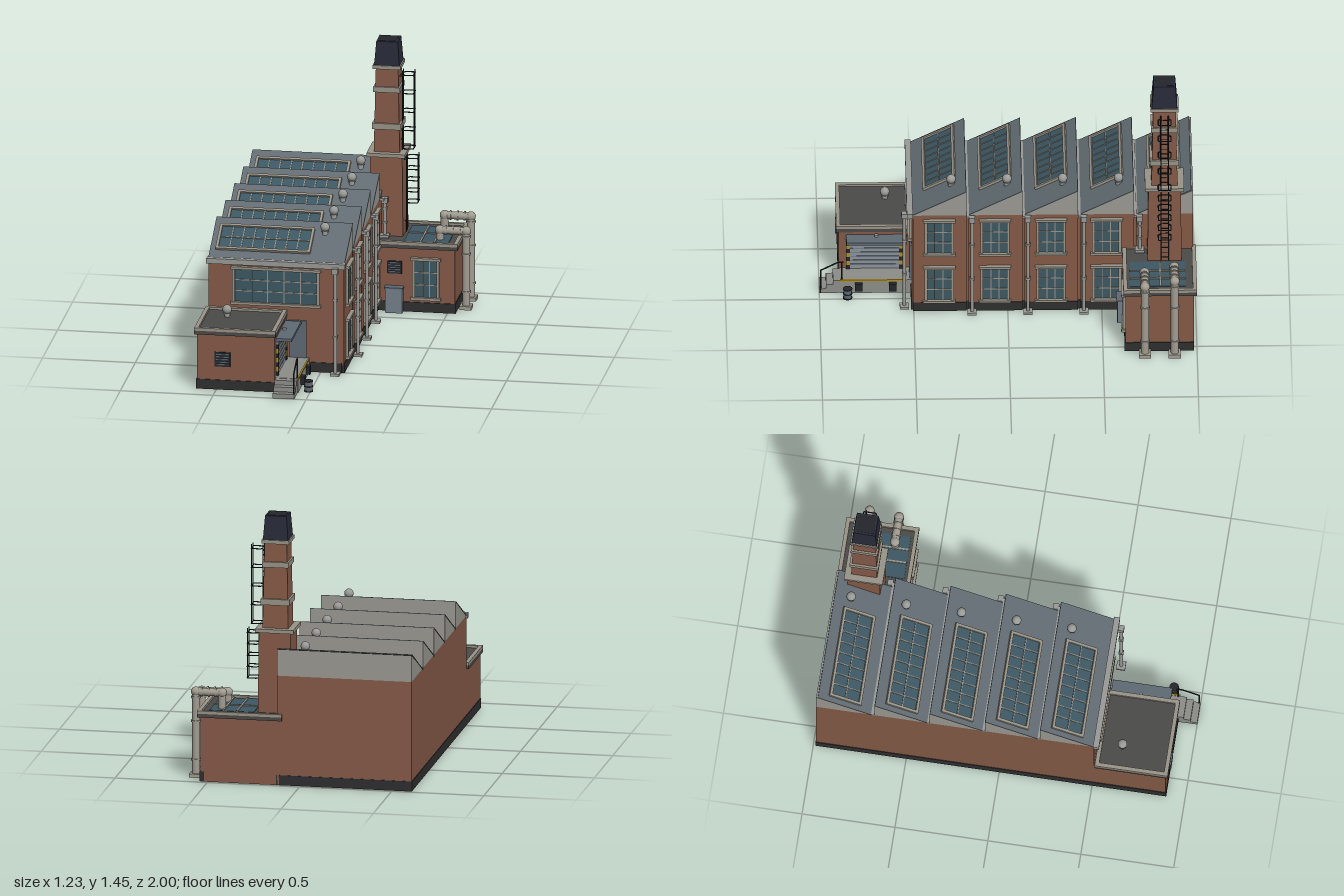
import * as THREE from 'three';

const C = {
  brick: 0x855a47, brickDark: 0x6e4a3b, base: 0x2f2f31, trim: 0x9a9488, gable: 0x9b9a93, slate: 0x626c72,
  glass: 0x3d5863, metal: 0x9a9a97, pipe: 0xa29d92, roof: 0x4b4a48, dark: 0x24262b, cap: 0x282b39,
  door: 0x5f6a74, panel: 0x75808a, shutter: 0x8b939b, concrete: 0x8d8d89, yellow: 0xb08f2a,
};
const mats = {};
const mat = (c) => (mats[c] ??= new THREE.MeshStandardMaterial({ color: C[c] }));

function add(parent, name, geo, color, x = 0, y = 0, z = 0) {
  const m = new THREE.Mesh(geo, mat(color));
  m.name = name;
  m.position.set(x, y, z);
  parent.add(m);
  return m;
}
// Box given by its limits
function box(p, name, color, x0, x1, y0, y1, z0, z1) {
  return add(p, name, new THREE.BoxGeometry(x1 - x0, y1 - y0, z1 - z0), color, (x0 + x1) / 2, (y0 + y1) / 2, (z0 + z1) / 2);
}
// Round bar between two points
function rod(p, name, color, a, b, r, sides = 12) {
  const A = new THREE.Vector3(...a), B = new THREE.Vector3(...b), d = B.clone().sub(A);
  const m = add(p, name, new THREE.CylinderGeometry(r, r, d.length(), sides), color);
  m.position.copy(A).add(B).multiplyScalar(0.5);
  m.quaternion.setFromUnitVectors(new THREE.Vector3(0, 1, 0), d.normalize());
  return m;
}
// Square tapering block
function taper(p, name, color, x, z, y0, y1, h0, h1) {
  const g = new THREE.CylinderGeometry(h1 * Math.SQRT2, h0 * Math.SQRT2, y1 - y0, 4).toNonIndexed();
  g.rotateY(Math.PI / 4);
  g.computeVertexNormals();
  return add(p, name, g, color, x, (y0 + y1) / 2, z);
}
function group(p, name, x = 0, y = 0, z = 0) {
  const g = new THREE.Group();
  g.name = name;
  g.position.set(x, y, z);
  p.add(g);
  return g;
}
// Framed glazing facing local +z, with an optional sill and lintel
function glazing(p, name, x, y, z, w, h, cols, rows, t, ledges) {
  const g = group(p, name, x, y, z), d = 0.014, W = w / 2, H = h / 2;
  box(g, 'glass', 'glass', -W + t, W - t, -H + t, H - t, -0.002, 0.004);
  for (const s of [-1, 1]) {
    box(g, 'frameSide', 'trim', s * (W - t / 2) - t / 2, s * (W - t / 2) + t / 2, -H, H, -0.004, d);
    const e = ledges ? 0.008 : 0;
    box(g, 'frameLedge', 'trim', -W - e, W + e, s * (H - t / 2) - t / 2, s * (H - t / 2) + t / 2, -0.004, d + e);
  }
  const iw = w - 2 * t, ih = h - 2 * t, b = 0.0025;
  for (let i = 1; i < cols; i++) { const u = -iw / 2 + iw * i / cols; box(g, 'mullion', 'trim', u - b, u + b, -ih / 2, ih / 2, 0, 0.008); }
  for (let i = 1; i < rows; i++) { const v = -ih / 2 + ih * i / rows; box(g, 'transom', 'trim', -iw / 2, iw / 2, v - b, v + b, 0, 0.008); }
  return g;
}
function roofVent(p, x, y, z, rise) {
  const g = group(p, 'roofVent', x, y, z);
  add(g, 'stem', new THREE.CylinderGeometry(0.014, 0.016, rise + 0.03, 16), 'metal', 0, rise / 2 - 0.015);
  add(g, 'collar', new THREE.CylinderGeometry(0.02, 0.02, 0.006, 16), 'metal', 0, rise - 0.022);
  add(g, 'ball', new THREE.SphereGeometry(0.025, 20, 14), 'metal', 0, rise);
}
function drainpipe(p, x, z, y0, y1) {
  const g = group(p, 'drainpipe', x, 0, z);
  rod(g, 'pipe', 'metal', [0, y0, 0], [0, y1, 0], 0.009);
  box(g, 'hopper', 'metal', -0.016, 0.016, y1 - 0.03, y1, -0.016, 0.016);
  box(g, 'foot', 'metal', -0.024, 0.024, y0, y0 + 0.014, -0.024, 0.024);
  for (const f of [0.35, 0.7]) box(g, 'clip', 'metal', -0.013, 0.013, y0 + (y1 - y0) * f, y0 + (y1 - y0) * f + 0.01, -0.013, 0.013);
}
// Flat roof with a raised kerb
function flatRoof(p, x0, x1, z0, z1, y) {
  const g = group(p, 'flatRoof'), t = 0.022;
  box(g, 'roofDeck', 'roof', x0 + 0.01, x1 - 0.01, y - 0.035, y - 0.012, z0 + 0.01, z1 - 0.01);
  const sides = [[x0, x1, z0, z0 + t], [x0, x1, z1 - t, z1], [x0, x0 + t, z0 + t, z1 - t], [x1 - t, x1, z0 + t, z1 - t]];
  for (const [a, b, c, d] of sides) {
    box(g, 'kerb', 'roof', a, b, y - 0.036, y - 0.016, c, d);
    box(g, 'coping', 'trim', a, b, y - 0.016, y, c, d);
  }
}
function louvre(p, x, y, z, w, h) {
  const g = group(p, 'louvre', x, y, z);
  box(g, 'louvreFrame', 'dark', -w / 2, w / 2, -h / 2, h / 2, -0.004, 0.006);
  for (let i = 0; i < 5; i++) {
    const s = add(g, 'slat', new THREE.BoxGeometry(w - 0.012, 0.004, 0.012), 'door', 0, (i - 2) * h * 0.18, 0.008);
    s.rotation.x = 0.5;
  }
}

function hall(root) {
  const g = group(root, 'mainHall');
  box(g, 'walls', 'brick', -0.605, 0.112, 0, 0.6, -0.985, 0.51);
  box(g, 'plinth', 'base', -0.608, 0.114, 0.002, 0.055, -0.988, 0.514);
  const period = 0.297, low = 0.6, high = 0.745, run = 0.285, a = Math.atan2(high - low, run);
  for (let i = 0; i < 5; i++) {
    const zf = 0.505 - i * period, zb = i === 4 ? -0.985 : zf - run, zc = zf - 0.14;
    // Wall bay and its windows
    box(g, 'wallBay', 'brick', 0.1, 0.125, 0, low, zb, zf);
    box(g, 'bayPlinth', 'base', 0.1, 0.129, 0.002, 0.055, zb, zf);
    if (i < 4) {
      for (const y of [0.172, 0.465]) glazing(g, 'sideWindow', 0.125, y, zc, 0.155, 0.225, 3, 3, 0.014, true).rotation.y = Math.PI / 2;
    }
    // Sawtooth roof bay
    const s = new THREE.Shape();
    s.moveTo(-zf, low); s.lineTo(-zb, low); s.lineTo(-zb, high);
    const tooth = new THREE.ExtrudeGeometry(s, { depth: 0.73, bevelEnabled: false });
    tooth.rotateY(Math.PI / 2);
    add(g, 'sawtooth', tooth, 'gable', -0.605);
    const slope = group(g, 'roofSlope', 0, (low + high) / 2, (zf + zb) / 2);
    slope.rotation.x = -(Math.PI / 2 - a);
    const half = Math.hypot(run, high - low) / 2;
    box(slope, 'slates', 'slate', -0.607, 0.127, -half, half, 0, 0.004);
    glazing(slope, 'skylight', -0.322, 0.005, 0.004, 0.51, 0.19, 8, 2, 0.015, false);
    roofVent(g, -0.01, 0.7, zf - 0.205, 0.045);
    // Valley gutter and downpipe
    if (i < 4) {
      box(g, 'valleyGutter', 'metal', -0.607, 0.15, 0.592, 0.606, zf - period - 0.002, zb);
      drainpipe(g, 0.15, zb - 0.03, i === 3 ? 0.385 : 0, 0.605);
      rod(g, 'gutterOutlet', 'metal', [0.13, 0.597, zb - 0.01], [0.15, 0.597, zb - 0.03], 0.008);
    }
  }
  box(g, 'frontGutter', 'metal', -0.612, 0.135, 0.585, 0.614, 0.505, 0.537);
  drainpipe(g, 0.085, 0.55, 0, 0.595);
  glazing(g, 'frontWindow', -0.24, 0.467, 0.51, 0.47, 0.21, 5, 3, 0.014, true);
  box(g, 'dockDoor', 'door', -0.17, -0.075, 0.08, 0.285, 0.51, 0.52);
}

function annex(root) {
  const g = group(root, 'frontAnnex');
  box(g, 'walls', 'brick', -0.605, -0.185, 0, 0.31, 0.5, 0.895);
  box(g, 'plinth', 'base', -0.608, -0.181, 0.002, 0.055, 0.5, 0.899);
  flatRoof(g, -0.617, -0.18, 0.515, 0.908, 0.342);
  roofVent(g, -0.482, 0.335, 0.645, 0.035);
  louvre(g, -0.467, 0.17, 0.895, 0.085, 0.08);
  // Loading dock, shutter and canopy
  const d = group(root, 'loadingDock');
  box(d, 'platform', 'concrete', -0.185, -0.06, 0, 0.08, 0.51, 0.89);
  box(d, 'edgeStrip', 'yellow', -0.066, -0.057, 0.072, 0.083, 0.54, 0.89);
  for (const z of [0.61, 0.79]) box(d, 'bumper', 'dark', -0.06, -0.038, 0.022, 0.066, z - 0.02, z + 0.02);
  box(d, 'shutter', 'shutter', -0.19, -0.178, 0.08, 0.255, 0.575, 0.835);
  for (let i = 1; i < 7; i++) box(d, 'shutterRib', 'panel', -0.18, -0.174, 0.08 + i * 0.025, 0.084 + i * 0.025, 0.575, 0.835);
  for (const z of [0.565, 0.845]) {
    for (let i = 0; i < 7; i++) box(d, 'warningPost', i % 2 ? 'yellow' : 'dark', -0.19, -0.172, 0.08 + i * 0.025, 0.105 + i * 0.025, z - 0.01, z + 0.01);
  }
  box(d, 'shutterHead', 'trim', -0.19, -0.17, 0.255, 0.268, 0.55, 0.86);
  box(d, 'canopy', 'door', -0.19, -0.1, 0.272, 0.288, 0.535, 0.855);
  rod(d, 'lamp', 'metal', [-0.165, 0.288, 0.695], [-0.165, 0.3, 0.695], 0.01);
  for (let i = 0; i < 3; i++) box(d, 'step', 'concrete', -0.18, -0.063, 0, 0.078 - i * 0.026, 0.89 + i * 0.037, 0.927 + i * 0.0365);
  const rail = [[-0.066, 0, 0.993], [-0.066, 0.14, 0.993], [-0.066, 0.19, 0.9], [-0.066, 0.19, 0.87]];
  for (let i = 0; i < 3; i++) rod(d, 'handrail', 'dark', rail[i], rail[i + 1], 0.004, 8);
  rod(d, 'railPost', 'dark', [-0.066, 0.08, 0.88], [-0.066, 0.19, 0.88], 0.004, 8);
  // Barrel beside the dock
  const b = group(root, 'barrel', -0.01, 0, 0.85);
  add(b, 'drum', new THREE.CylinderGeometry(0.022, 0.022, 0.06, 20), 'door', 0, 0.03);
  for (const y of [0.004, 0.03, 0.058]) add(b, 'hoop', new THREE.CylinderGeometry(0.025, 0.025, 0.006, 20), 'dark', 0, y);
}

function boilerHouse(root) {
  const g = group(root, 'boilerHouse');
  box(g, 'walls', 'brick', 0.1, 0.54, 0, 0.36, -0.984, -0.62);
  box(g, 'frontPlinth', 'base', 0.125, 0.545, 0.002, 0.055, -0.64, -0.615);
  box(g, 'sidePlinth', 'base', 0.52, 0.545, 0.002, 0.055, -0.984, -0.64);
  flatRoof(g, 0.098, 0.556, -1, -0.608, 0.39);
  glazing(g, 'window', 0.385, 0.188, -0.62, 0.145, 0.235, 3, 3, 0.015, true);
  louvre(g, 0.215, 0.245, -0.62, 0.08, 0.07);
  box(g, 'cabinet', 'panel', 0.17, 0.263, 0, 0.135, -0.62, -0.58);
  box(g, 'cabinetLid', 'door', 0.166, 0.267, 0.135, 0.142, -0.62, -0.575);
  // Roof glazing
  const s = group(g, 'roofGlazing');
  box(s, 'glass', 'glass', 0.26, 0.5, 0.37, 0.382, -0.94, -0.645);
  for (const x of [0.35, 0.425]) box(s, 'bar', 'trim', x - 0.005, x + 0.005, 0.38, 0.387, -0.94, -0.645);
  box(s, 'bar', 'trim', 0.26, 0.5, 0.38, 0.387, -0.811, -0.801);
  // Flue pipes arching over the parapet
  for (const [z, y] of [[-0.722, 0.432], [-0.88, 0.466]]) {
    const p = group(g, 'fluePipe', 0, 0, z);
    rod(p, 'riser', 'pipe', [0.585, 0, 0], [0.585, y, 0], 0.021, 20);
    rod(p, 'crossover', 'pipe', [0.443, y, 0], [0.585, y, 0], 0.021, 20);
    rod(p, 'drop', 'pipe', [0.443, 0.37, 0], [0.443, y, 0], 0.021, 20);
    for (const x of [0.443, 0.585]) add(p, 'elbow', new THREE.SphereGeometry(0.026, 20, 14), 'pipe', x, y);
    for (const c of [0.09, 0.3, y - 0.035]) rod(p, 'collar', 'pipe', [0.585, c, 0], [0.585, c + 0.01, 0], 0.026, 20);
    for (const c of [0.472, 0.51, 0.548]) rod(p, 'collar', 'pipe', [c, y, 0], [c + 0.008, y, 0], 0.026, 20);
    box(p, 'foot', 'pipe', 0.553, 0.617, 0, 0.02, -0.032, 0.032);
  }
}

function chimney(root) {
  const g = group(root, 'chimney'), x = 0.15, z = -0.832;
  taper(g, 'lowerStack', 'brick', x, z, 0.3, 0.82, 0.092, 0.086);
  taper(g, 'upperStack', 'brick', x, z, 0.82, 1.31, 0.07, 0.06);
  for (const [y0, y1, h] of [[0.818, 0.838, 0.104], [0.965, 0.998, 0.078], [1.17, 1.2, 0.072], [1.3, 1.32, 0.075]]) taper(g, 'stoneBand', 'trim', x, z, y0, y1, h, h);
  taper(g, 'cap', 'cap', x, z, 1.32, 1.45, 0.068, 0.058);
  taper(g, 'flueMouth', 'dark', x, z, 1.449, 1.452, 0.048, 0.048);
  // Two caged ladders
  for (const [lx, y0, y1, c0] of [[0.248, 0.385, 0.818, 0.55], [0.226, 0.84, 1.28, 0.85]]) {
    const l = group(g, 'cagedLadder', lx, 0, z), r = 0.003, D = 0.062;
    for (const s of [-1, 1]) {
      rod(l, 'stile', 'dark', [0, y0, s * 0.02], [0, y1, s * 0.02], r, 6);
      rod(l, 'cageBar', 'dark', [D, c0, s * 0.02], [D, y1, s * 0.02], r, 6);
      for (const y of [y0 + 0.06, y1 - 0.03]) rod(l, 'bracket', 'dark', [-0.03, y, s * 0.02], [0, y, s * 0.02], r, 6);
    }
    for (let y = y0 + 0.02; y < y1; y += 0.03) rod(l, 'rung', 'dark', [0, y, -0.02], [0, y, 0.02], 0.0025, 6);
    for (let i = 0; i < 5; i++) {
      const y = c0 + (y1 - 0.02 - c0) * i / 4;
      const h = [[0, y, -0.02], [0.012, y, -0.034], [D, y, -0.034], [D, y, 0.034], [0.012, y, 0.034], [0, y, 0.02]];
      for (let k = 0; k < 5; k++) rod(l, 'cageHoop', 'dark', h[k], h[k + 1], r, 6);
    }
  }
}

export function createModel() {
  const root = new THREE.Group();
  root.name = 'factory';
  hall(root);
  annex(root);
  boilerHouse(root);
  chimney(root);
  return root;
}
